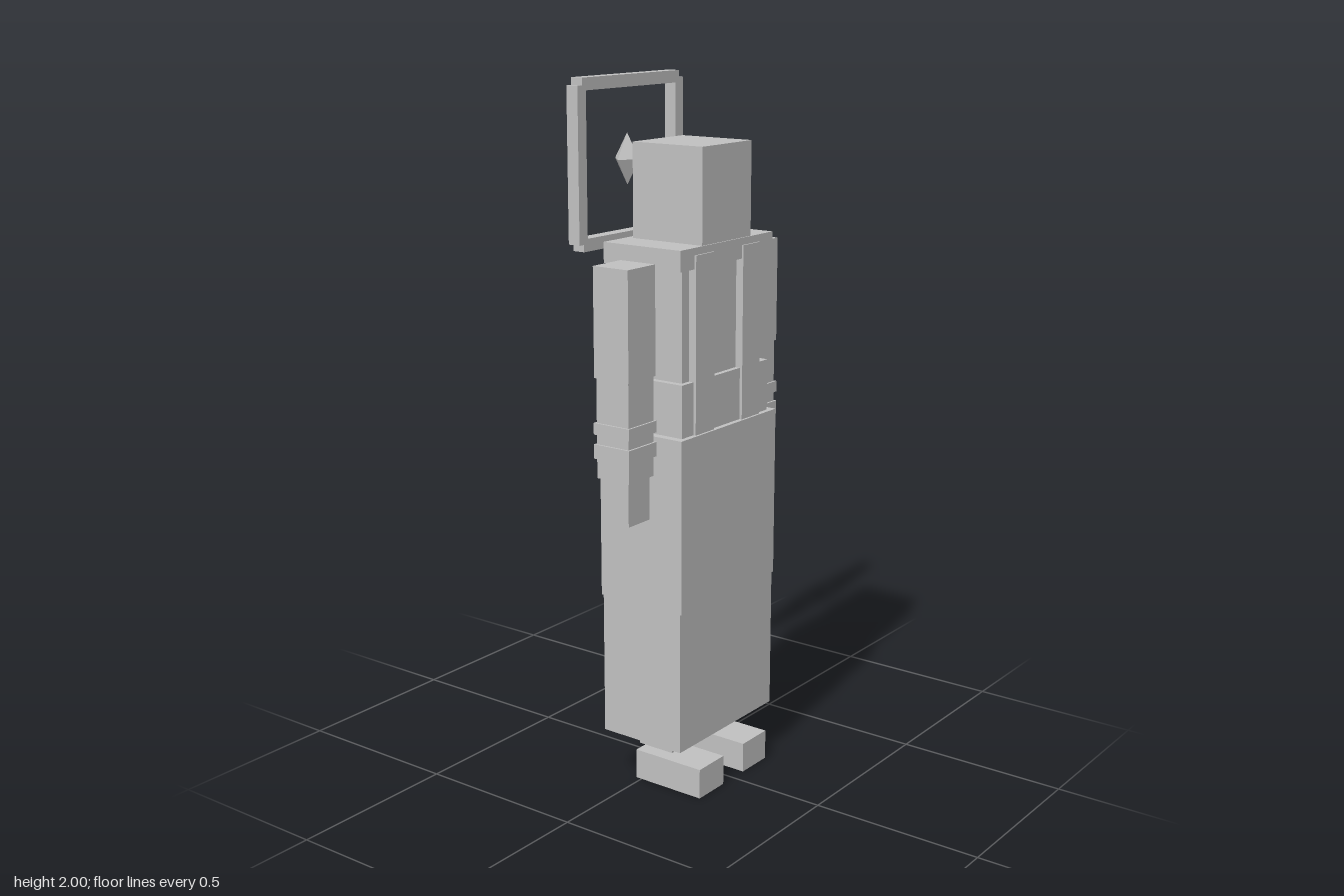
import * as THREE from 'three';

export function createModel() {
  const model = new THREE.Group();
  model.name = 'blockFigure';
  const grey = new THREE.MeshStandardMaterial({ color: 0xc0c0c0 });
  grey.name = 'plain grey';

  // Box from its min/max limits on each axis
  function box(name, [x0, x1], [y0, y1], [z0, z1], parent = model) {
    const mesh = new THREE.Mesh(new THREE.BoxGeometry(x1 - x0, y1 - y0, z1 - z0), grey);
    mesh.position.set((x0 + x1) / 2, (y0 + y1) / 2, (z0 + z1) / 2);
    mesh.name = name;
    parent.add(mesh);
    return mesh;
  }
  const wide = (half, c = 0) => [c - half, c + half];

  // Skirt in two tiers
  box('skirtLower', wide(0.225), [0.155, 0.567], [-0.086, 0.183]);
  box('skirtUpper', wide(0.226), [0.567, 1.06], [-0.092, 0.188]);

  // Torso, shoulders and head
  box('waist', wide(0.203), [1.06, 1.207], [-0.073, 0.173]);
  box('chest', wide(0.184), [1.207, 1.513], [-0.058, 0.158]);
  box('shoulderYoke', wide(0.215), [1.513, 1.57], [-0.081, 0.176]);
  box('head', wide(0.113), [1.57, 1.83], [-0.06, 0.172]);

  // Paired parts
  for (const [side, s] of [['left', 1], ['right', -1]]) {
    const strapX = s * 0.109;
    box(side + 'Strap', wide(0.043, strapX), [1.06, 1.55], [-0.086, 0.181]);

    // Arm with two bracelets and a hand
    const arm = new THREE.Group();
    arm.name = side + 'Arm';
    const ax = s * 0.29, az = 0.048;
    const armParts = [
      ['upperArm', 0.058, 1.23, 1.53],
      ['forearm', 0.054, 0.953, 1.23],
      ['upperBracelet', 0.06, 1.075, 1.107],
      ['lowerBracelet', 0.06, 1.008, 1.048],
      ['hand', 0.046, 0.83, 0.953],
    ];
    for (const [name, half, y0, y1] of armParts) {
      box(name, wide(half, ax), [y0, y1], wide(half, az), arm);
    }
    model.add(arm);

    // Ankle and foot
    const fx = s * 0.108;
    box(side + 'Ankle', wide(0.053, fx), [0.11, 0.2], [-0.008, 0.107]);
    box(side + 'Foot', wide(0.058, fx), [0, 0.088], [-0.018, 0.209]);
  }

  // Square halo frame floating behind the head
  const halo = new THREE.Group();
  halo.name = 'haloFrame';
  const haloZ = [-0.187, -0.149];
  box('topBar', wide(0.215), [1.966, 2], haloZ, halo);
  box('bottomBar', wide(0.215), [1.535, 1.57], haloZ, halo);
  box('leftPost', [0.199, 0.234], [1.555, 1.98], haloZ, halo);
  box('rightPost', [-0.234, -0.199], [1.555, 1.98], haloZ, halo);
  model.add(halo);

  // Diamond in the middle of the frame
  const diamond = new THREE.Mesh(new THREE.OctahedronGeometry(1), grey);
  diamond.scale.set(0.043, 0.072, 0.043);
  diamond.position.set(0, 1.768, -0.168);
  diamond.name = 'haloDiamond';
  model.add(diamond);

  return model;
}
